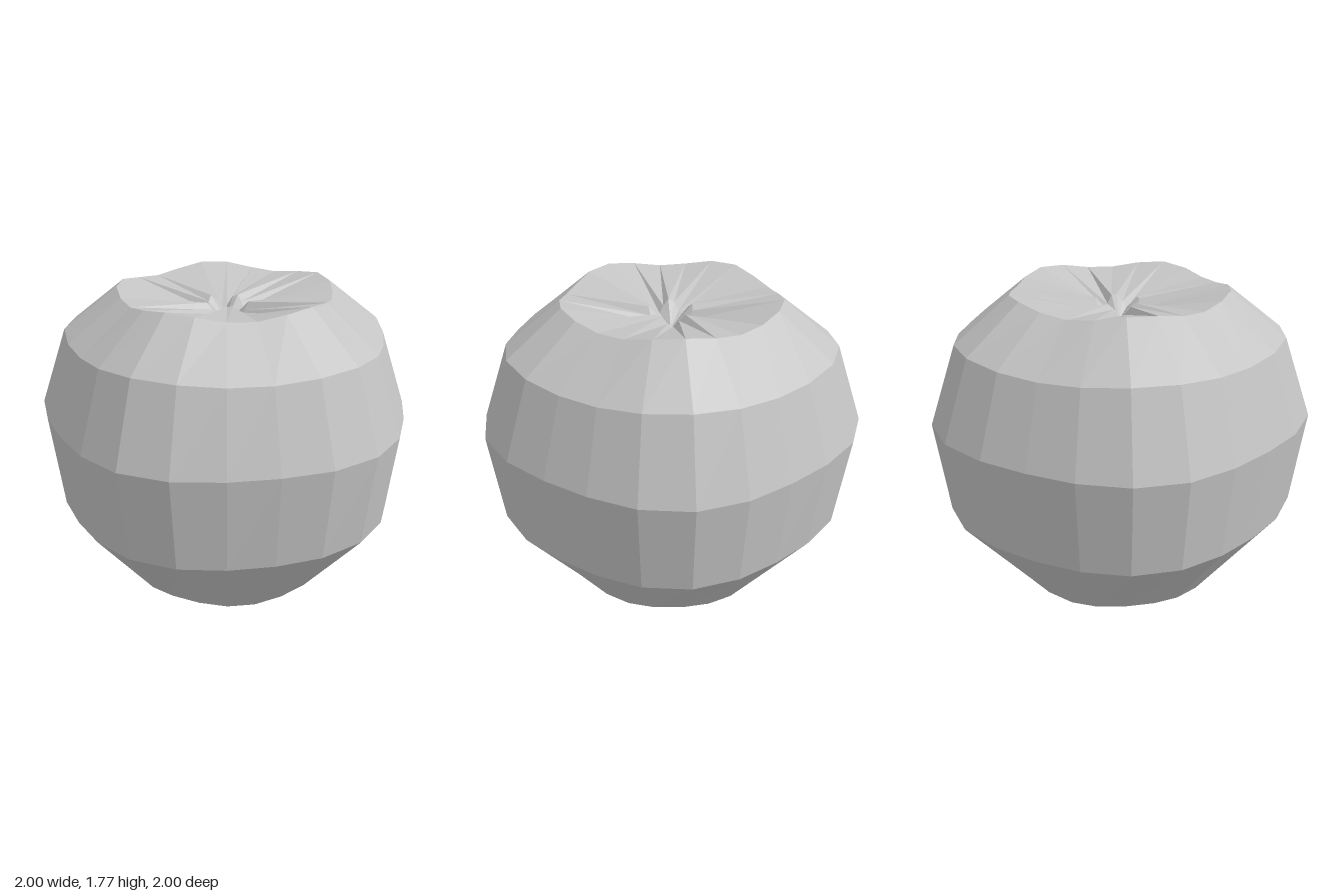
import * as THREE from 'three';

const SEGMENTS = 24;
const LOBES = 5;

// Cross-sections from the bottom dimple to the top dimple:
// [radius, radius wave, height, height wave]
const rings = [
  [0.004, 0, 0.1, 0],
  [0.1, -0.01, 0.035, -0.033],
  [0.588, 0.013, 0.158, 0.018],
  [0.94, 0.025, 0.61, 0.005],
  [1.0, 0.03, 1.12, 0.003],
  [0.858, 0.023, 1.53, 0.012],
  [0.57, 0.015, 1.755, 0.02],
  [0.11, -0.01, 1.665, -0.035],
  [0.004, 0, 1.58, 0],
];

// Five-lobed surface swept through the rings
function lobedGeometry() {
  const positions = [];
  const indices = [];
  for (const [r, dr, y, dy] of rings) {
    for (let j = 0; j < SEGMENTS; j++) {
      const a = (j / SEGMENTS) * Math.PI * 2;
      const wave = Math.cos(LOBES * a);
      const radius = r + dr * wave;
      positions.push(radius * Math.cos(a) - 0.03, y + dy * wave, radius * Math.sin(a));
    }
  }
  for (let i = 0; i < rings.length - 1; i++) {
    for (let j = 0; j < SEGMENTS; j++) {
      const k = (j + 1) % SEGMENTS;
      const a = i * SEGMENTS + j, b = i * SEGMENTS + k;
      const c = a + SEGMENTS, d = b + SEGMENTS;
      indices.push(a, c, b, b, c, d);
    }
  }
  const geometry = new THREE.BufferGeometry();
  geometry.setAttribute('position', new THREE.Float32BufferAttribute(positions, 3));
  geometry.setIndex(indices);
  const flat = geometry.toNonIndexed();
  flat.computeVertexNormals();
  return flat;
}

export function createModel() {
  const group = new THREE.Group();
  group.name = 'lobedFruit';
  const grey = new THREE.MeshStandardMaterial({ color: 0xc4c4c4, flatShading: true });
  grey.name = 'light grey';
  const body = new THREE.Mesh(lobedGeometry(), grey);
  body.name = 'fruitBody';
  group.add(body);
  return group;
}
